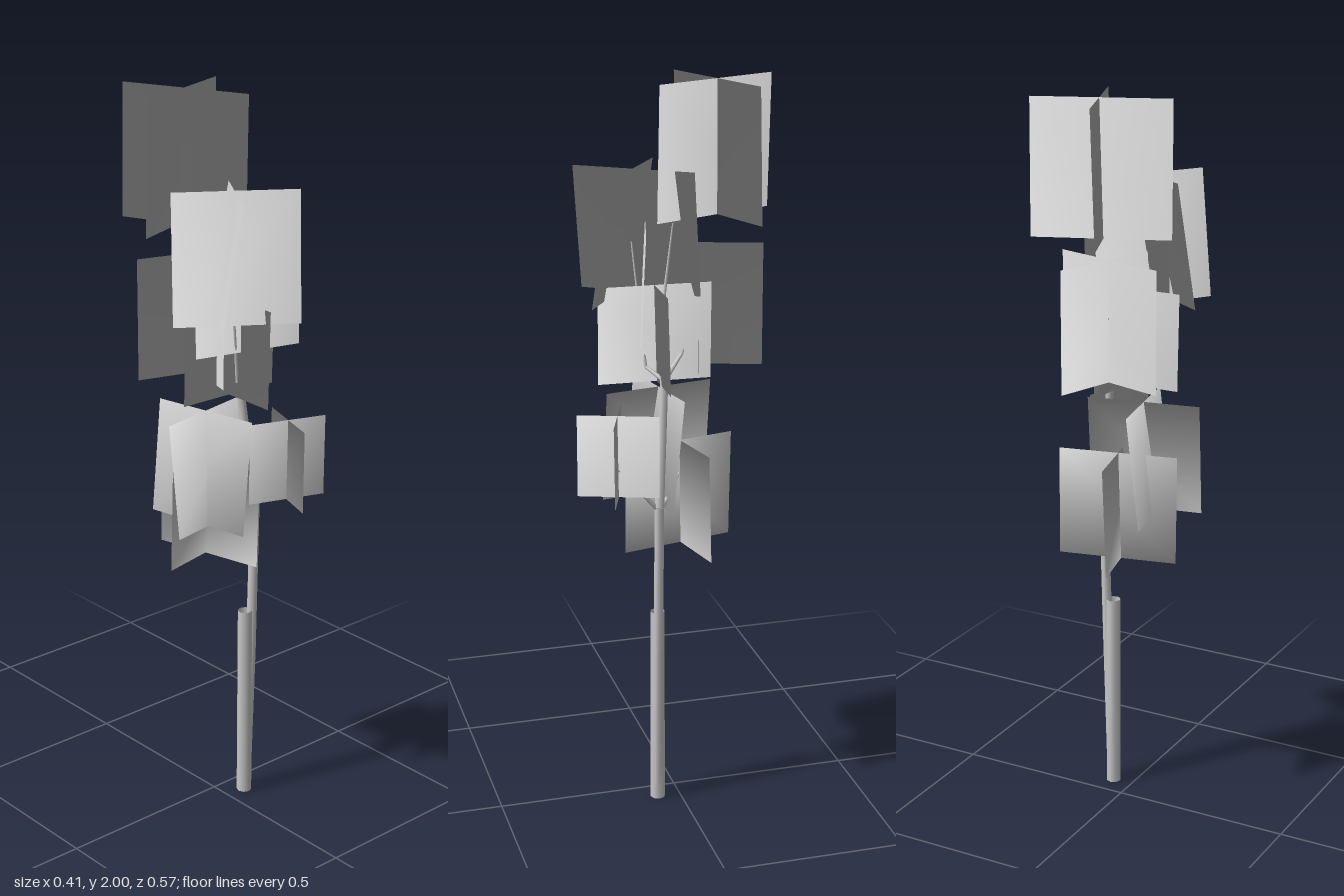
import * as THREE from 'three';

const leafGrey = new THREE.MeshStandardMaterial({ color: 0xcccccc, side: THREE.DoubleSide });
const barkGrey = new THREE.MeshStandardMaterial({ color: 0xc8c8c8, side: THREE.DoubleSide });

// Leaf normals fan out from here, so the crown shades as one soft mass
const crownCentre = new THREE.Vector3(0, 0.85, 0.04);

// Leaf card: middle line from a to b (x, z), bottom and top heights,
// and the (x, z) shift between the middle and the top edge.
function leafCard(a, b, y0, y1, [lx, lz]) {
  const geo = new THREE.PlaneGeometry(1, 1);
  const { position, normal } = geo.attributes;
  const p = new THREE.Vector3();
  for (let i = 0; i < position.count; i++) {
    const t = position.getX(i) + 0.5, top = position.getY(i) > 0, s = top ? 1 : -1;
    p.set(
      a[0] + (b[0] - a[0]) * t + lx * s,
      top ? y1 : y0,
      a[1] + (b[1] - a[1]) * t + lz * s);
    position.setXYZ(i, p.x, p.y, p.z);
    p.sub(crownCentre).normalize();
    normal.setXYZ(i, p.x, p.y, p.z);
  }
  const mesh = new THREE.Mesh(geo, leafGrey);
  mesh.name = 'leafCard';
  return mesh;
}

// Tapered limb through a list of points, one joint at a time.
function limb(name, points, r0, r1) {
  const group = new THREE.Group();
  group.name = name;
  const n = points.length - 1;
  for (let i = 0; i < n; i++) {
    const a = new THREE.Vector3(...points[i]), b = new THREE.Vector3(...points[i + 1]);
    const dir = b.clone().sub(a);
    const ra = r0 + (r1 - r0) * i / n, rb = r0 + (r1 - r0) * (i + 1) / n;
    const mesh = new THREE.Mesh(new THREE.CylinderGeometry(rb, ra, dir.length(), 8, 1, true), barkGrey);
    mesh.position.copy(a).add(b).multiplyScalar(0.5);
    mesh.quaternion.setFromUnitVectors(new THREE.Vector3(0, 1, 0), dir.normalize());
    mesh.name = name + 'Part';
    group.add(mesh);
  }
  return group;
}

export function createModel() {
  const model = new THREE.Group();
  model.name = 'sapling';

  // Hollow support stake and slender trunk
  model.add(limb('stake', [[0.058, 0, 0.063], [0.058, 0.566, 0.063]], 0.021, 0.02));
  model.add(limb('trunk', [
    [0.062, 0, 0.064], [0.078, 0.45, 0.066], [0.09, 0.88, 0.065],
    [0.07, 1.06, 0.052], [0.052, 1.24, 0.04],
  ], 0.015, 0.011));

  // Branches reaching into each leaf cluster
  const fork = [0.088, 0.87, 0.065], crown = [0.052, 1.22, 0.04];
  const branches = [
    [fork, [0.1, 1.0, 0.18]],
    [fork, [0.03, 0.92, 0.05], [-0.06, 1.02, 0.035]],
    [fork, [0.04, 0.9, 0.02], [0, 0.94, -0.015]],
    [crown, [0.01, 1.25, 0.08], [-0.035, 1.58, 0.105]],
    [crown, [0.01, 1.28, -0.02], [0, 1.42, -0.068]],
    [crown, [0.05, 1.45, 0.04], [0.045, 1.64, 0.015]],
  ];
  branches.forEach((p) => model.add(limb('branch', p, 0.007, 0.002)));

  // Leaf clusters: bottom, top, then cards as [end, end, lean]
  const clusters = [
    ['topLeaves', 1.643, 2.0, [
      [[-0.073, -0.283], [0.062, 0.058], [0.005, -0.002]],
      [[-0.178, -0.055], [0.162, -0.185], [0.002, 0.005]]]],
    ['upperFrontLeaves', 1.435, 1.774, [
      [[-0.174, 0.035], [0.101, 0.22], [0.016, -0.022]],
      [[0.049, -0.051], [-0.138, 0.226], [0.022, 0.015]]]],
    ['upperSideLeaf', 1.336, 1.643, [
      [[-0.115, 0.055], [0.18, 0.13], [0.002, -0.007]]]],
    ['upperBackLeaves', 1.244, 1.575, [
      [[-0.165, -0.116], [0.164, -0.02], [0, 0]],
      [[0.05, -0.23], [-0.05, 0.094], [0, 0]]]],
    ['middleLeaves', 1.208, 1.472, [
      [[0.017, -0.098], [0.006, 0.208], [0.003, 0]],
      [[-0.145, 0.05], [0.16, 0.056], [0, 0.004]]]],
    ['lowerLeftLeaves', 0.924, 1.15, [
      [[0.137, 0.077], [0.064, 0.282], [0.001, 0]],
      [[-0.003, 0.144], [0.203, 0.216], [0, 0.001]]]],
    ['lowerRightLeaves', 0.86, 1.172, [
      [[-0.1, -0.124], [-0.043, 0.181], [0.017, -0.003]],
      [[-0.203, 0.073], [0.104, 0.014], [-0.003, -0.016]]]],
    ['lowestLeaves', 0.733, 1.033, [
      [[-0.162, 0.014], [0.16, -0.056], [0.001, 0.004]],
      [[-0.042, -0.172], [0.031, 0.143], [0.005, -0.001]]]],
  ];
  for (const [name, y0, y1, cards] of clusters) {
    const group = new THREE.Group();
    group.name = name;
    cards.forEach(([a, b, lean]) => group.add(leafCard(a, b, y0, y1, lean)));
    model.add(group);
  }
  return model;
}
